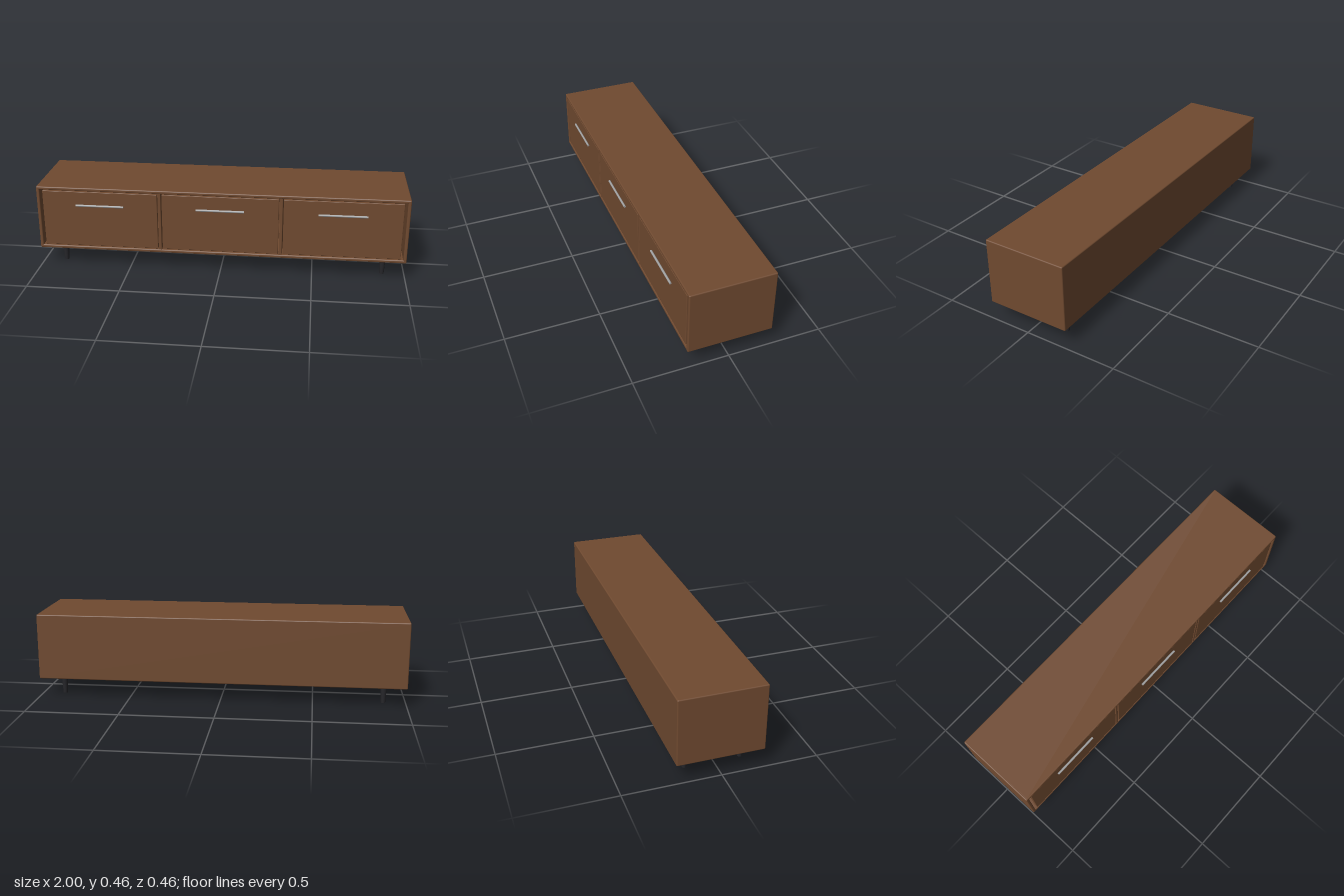
import * as THREE from 'three';
import { RoundedBoxGeometry } from 'three/addons/geometries/RoundedBoxGeometry.js';

const wood = new THREE.MeshStandardMaterial({ color: 0x704a30 });
const black = new THREE.MeshStandardMaterial({ color: 0x26262a });
const metal = new THREE.MeshStandardMaterial({ color: 0xa0a0a0 });

export function createModel() {
  const group = new THREE.Group();
  group.name = 'lowCabinet';

  const add = (name, geometry, material, x, y, z) => {
    const mesh = new THREE.Mesh(geometry, material);
    mesh.name = name;
    mesh.position.set(x, y, z);
    group.add(mesh);
    return mesh;
  };
  // Softly rounded board given by its minimum and maximum corners
  const board = (name, [x0, y0, z0], [x1, y1, z1], r = 0.006) =>
    add(name, new RoundedBoxGeometry(x1 - x0, y1 - y0, z1 - z0, 3, r), wood,
      (x0 + x1) / 2, (y0 + y1) / 2, (z0 + z1) / 2);

  // Carcass: five boards sharing their outer corners
  const T = 0.018, bottom = 0.1, top = 0.46, back = -0.23, front = 0.22;
  board('topPanel', [-1, top - T, back], [1, top, front]);
  board('bottomPanel', [-1, bottom, back], [1, bottom + T, front]);
  board('rightSide', [-1, bottom, back], [-1 + T, top, front]);
  board('leftSide', [1 - T, bottom, back], [1, top, front]);
  board('backPanel', [-1, bottom, back], [1, top, back + T]);

  // Dividers between the three bays
  for (const x of [-0.327, 0.327]) {
    board('divider', [x - 0.008, bottom + 0.01, back + 0.01], [x + 0.008, top - 0.01, front - 0.002], 0.003);
  }

  // Inset drawer fronts with slim bar handles
  for (const x of [-0.653, 0, 0.653]) {
    board('drawerFront', [x - 0.314, 0.123, 0.198], [x + 0.314, 0.437, 0.218], 0.003);
    const handle = add('handle', new THREE.CylinderGeometry(0.006, 0.006, 0.26, 20), metal, x, 0.36, 0.224);
    handle.rotation.z = Math.PI / 2;
  }

  // Tapered legs
  for (const x of [-0.88, 0.88]) {
    for (const z of [-0.15, 0.14]) {
      add('leg', new THREE.CylinderGeometry(0.018, 0.012, 0.102, 24), black, x, 0.051, z);
    }
  }
  return group;
}
